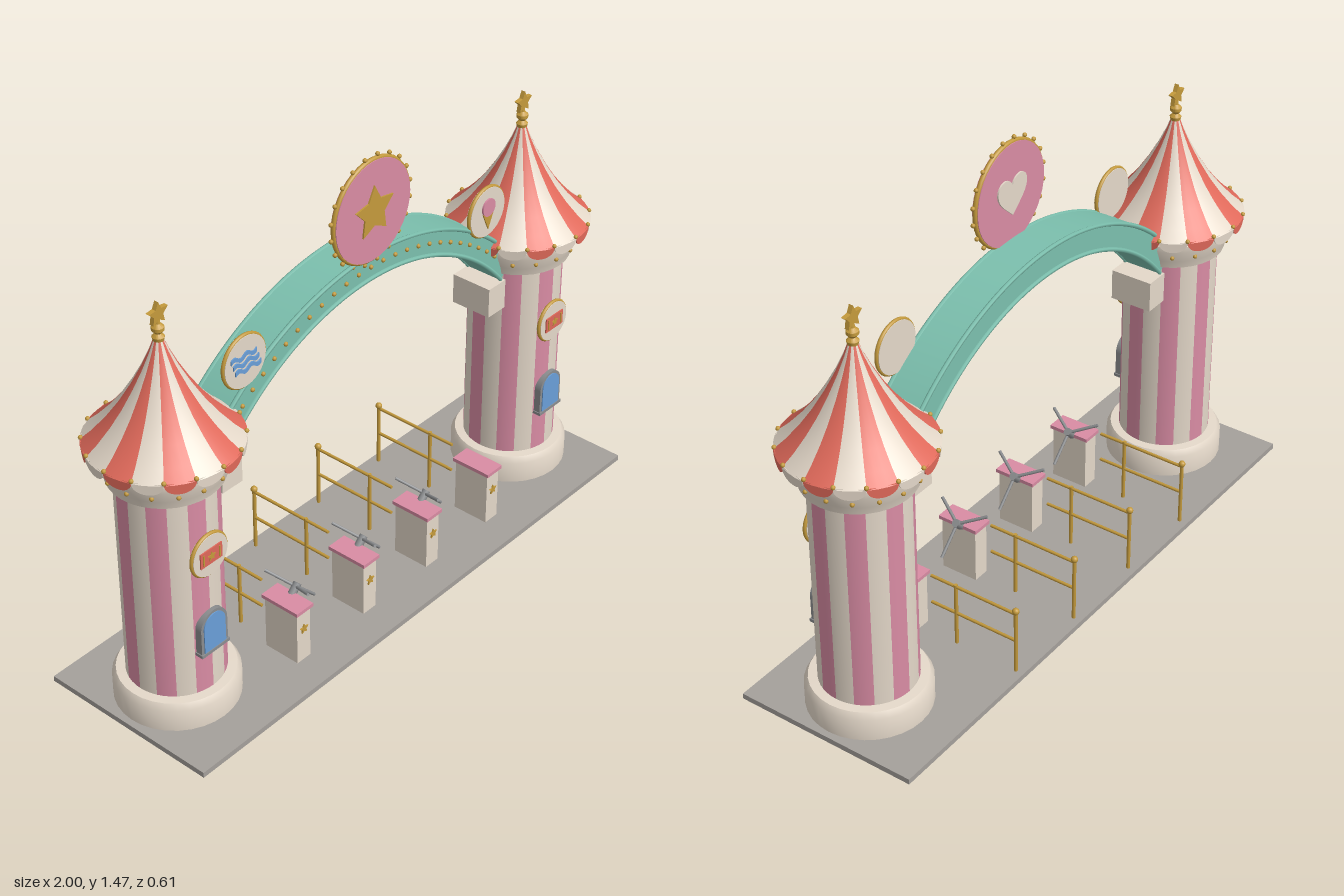
import * as THREE from 'three';
import { toCreasedNormals } from 'three/addons/utils/BufferGeometryUtils.js';

const mat = (name, color) => Object.assign(new THREE.MeshStandardMaterial({ color }), { name });
const cream = mat('cream', 0xe4d8c9), pink = mat('pink', 0xd98ca4), red = mat('coral red', 0xe0695a),
  teal = mat('teal', 0x7cc0ae), gold = mat('gold', 0xc49a3c), blue = mat('sky blue', 0x6a9fd8),
  paving = mat('paving grey', 0xa5a09b), steel = mat('steel', 0x8b8d8f);
for (const m of [red, cream]) m.side = THREE.DoubleSide;

const V2 = (a) => a.map(([x, y]) => new THREE.Vector2(x, y));

function add(parent, name, geo, material, x = 0, y = 0, z = 0) {
  const m = new THREE.Mesh(geo, material);
  m.name = name;
  m.position.set(x, y, z);
  parent.add(m);
  return m;
}
function group(parent, name, x = 0, y = 0, z = 0) {
  const g = new THREE.Group();
  g.name = name;
  g.position.set(x, y, z);
  parent.add(g);
  return g;
}
const box = (w, h, d) => new THREE.BoxGeometry(w, h, d);
const lathe = (pts, seg = 32, start = 0, len = Math.PI * 2) =>
  toCreasedNormals(new THREE.LatheGeometry(V2(pts), seg, start, len), 0.6);
const extrude = (shape, depth) =>
  new THREE.ExtrudeGeometry(shape, { depth, bevelEnabled: false, curveSegments: 24 });
const bulbGeo = new THREE.SphereGeometry(0.007, 8, 6);

// Rod between two points
function rod(parent, name, a, b, r, material) {
  const p = new THREE.Vector3(...a), q = new THREE.Vector3(...b), d = q.clone().sub(p);
  const m = add(parent, name, new THREE.CylinderGeometry(r, r, d.length(), 8), material);
  m.position.copy(p).add(q).multiplyScalar(0.5);
  m.quaternion.setFromUnitVectors(new THREE.Vector3(0, 1, 0), d.normalize());
}
function star(r, inner = 0.48) {
  return new THREE.Shape(V2(Array.from({ length: 10 }, (_, i) => {
    const a = Math.PI / 2 + i * Math.PI / 5, k = i % 2 ? r * inner : r;
    return [Math.cos(a) * k, Math.sin(a) * k];
  })));
}
function wave(w, amp, thick) {
  const n = 24, top = [], bottom = [];
  for (let i = 0; i <= n; i++) {
    const x = (i / n - 0.5) * w, y = amp * Math.sin(i / n * Math.PI * 4);
    top.push([x, y + thick / 2]);
    bottom.unshift([x, y - thick / 2]);
  }
  return new THREE.Shape(V2([...top, ...bottom]));
}
function archedShape(w, h) {
  const s = new THREE.Shape();
  s.moveTo(-w, 0);
  s.lineTo(w, 0);
  s.lineTo(w, h - w);
  s.absarc(0, h - w, w, 0, Math.PI);
  return s;
}
// Round sign facing +z with a gold rim; its front face sits at z = depth / 2
function roundSign(parent, name, r, depth, face, x, y, z) {
  const g = group(parent, name, x, y, z);
  add(g, 'signDisc', new THREE.CylinderGeometry(r, r, depth, 40), face).rotation.x = Math.PI / 2;
  add(g, 'signRim', new THREE.TorusGeometry(r, depth * 0.38, 8, 40), gold);
  return g;
}

function buildTower(root, x) {
  const t = group(root, x > 0 ? 'leftTower' : 'rightTower', x);
  add(t, 'towerFoot', lathe([[0.187, 0.015], [0.187, 0.09], [0.175, 0.11], [0.14, 0.112]]), cream);
  add(t, 'towerCollar', lathe([[0.14, 0.787], [0.168, 0.795], [0.174, 0.82], [0.19, 0.86],
    [0.19, 0.88], [0.17, 0.886], [0.17, 0.91]]), cream);
  add(t, 'eaveUnderside', lathe([[0.16, 0.9], [0.222, 0.912]]), cream);

  // Striped shaft, striped roof and scalloped valance
  const step = Math.PI / 8;
  const roof = [[0.225, 0.912], [0.19, 0.942], [0.15, 0.985], [0.115, 1.03], [0.08, 1.085],
    [0.05, 1.14], [0.027, 1.19], [0.01, 1.235]];
  const flap = new THREE.Shape();
  flap.moveTo(-0.044, 0.003);
  flap.bezierCurveTo(-0.044, -0.045, 0.044, -0.045, 0.044, 0.003);
  for (let i = 0; i < 16; i++) {
    const a = i * step, mid = a + step / 2, odd = i % 2;
    add(t, 'shaftStripe', new THREE.CylinderGeometry(0.147, 0.147, 0.69, 3, 1, true, a, step),
      odd ? pink : cream, 0, 0.45);
    add(t, 'roofStripe', new THREE.LatheGeometry(V2(roof), 3, a, step), odd ? cream : red);
    const f = add(t, 'valanceFlap', extrude(flap, 0.004), odd ? cream : red,
      Math.sin(mid) * 0.217, 0.912, Math.cos(mid) * 0.217);
    f.rotation.y = mid;
    add(t, 'eaveBulb', bulbGeo, gold, Math.sin(a) * 0.222, 0.918, Math.cos(a) * 0.222);
    add(t, 'collarBulb', bulbGeo, gold, Math.sin(mid) * 0.183, 0.838, Math.cos(mid) * 0.183);
  }

  // Finial
  add(t, 'finialStem', lathe([[0.014, 1.215], [0.018, 1.232], [0.009, 1.242], [0.018, 1.252],
    [0.018, 1.262], [0.008, 1.272], [0.006, 1.29]], 16), gold);
  add(t, 'finialStar', extrude(star(0.036), 0.014), gold, 0, 1.303, -0.007);

  // Ticket sign
  const s = roundSign(t, 'ticketSign', 0.066, 0.016, cream, 0, 0.587, 0.15);
  add(s, 'ticket', box(0.084, 0.05, 0.004), red, 0, 0, 0.01);
  add(s, 'ticketStar', extrude(star(0.016), 0.002), gold, 0, 0, 0.012);
  for (const k of [-1, 1]) add(s, 'ticketEdge', box(0.005, 0.036, 0.002), gold, k * 0.031, 0, 0.013);

  // Arched window
  const frame = archedShape(0.052, 0.14);
  add(t, 'windowFrame', extrude(frame, 0.03), steel, 0, 0.254, 0.13);
  add(t, 'windowPane', extrude(archedShape(0.042, 0.122), 0.004), blue, 0, 0.263, 0.159);
  add(t, 'windowSill', box(0.11, 0.01, 0.035), steel, 0, 0.257, 0.147);
}

function buildArch(root) {
  const g = group(root, 'archway');
  const cy = 0.275, rIn = 0.79, rOut = 0.875, end = 0.685;
  const a0 = end, a1 = Math.PI - end;
  const s = new THREE.Shape();
  s.absarc(0, cy, rOut, a0, a1, false);
  s.absarc(0, cy, rIn, a1, a0, true);
  const geo = new THREE.ExtrudeGeometry(s, { depth: 0.126, bevelEnabled: false, curveSegments: 48 });
  add(g, 'archBand', toCreasedNormals(geo, 0.5), teal, 0, 0, -0.063);
  for (const r of [rIn + 0.003, rOut - 0.003]) for (const z of [-0.063, 0.063]) {
    const rim = add(g, 'archRim', new THREE.TorusGeometry(r, 0.007, 6, 56, a1 - a0), teal, 0, cy, z);
    rim.rotation.z = a0;
  }
  for (let i = 0; i < 27; i++) {
    const a = a0 + 0.06 + (a1 - a0 - 0.12) * i / 26;
    add(g, 'archBulb', bulbGeo, gold, Math.cos(a) * 0.833, cy + Math.sin(a) * 0.833, 0.065);
  }
  for (const k of [-1, 1]) add(g, 'archBracket', box(0.08, 0.1, 0.14), cream, k * 0.59, 0.72, 0);
}

function buildSigns(root) {
  // Large star sign with a heart on its back
  const c = roundSign(root, 'starSign', 0.158, 0.02, pink, 0, 1.293, 0.064);
  add(c, 'goldStar', extrude(star(0.083, 0.52), 0.005), gold, 0, 0, 0.01);
  const h = new THREE.Shape();
  h.moveTo(0, -0.065);
  h.bezierCurveTo(0.03, -0.035, 0.07, -0.01, 0.068, 0.025);
  h.bezierCurveTo(0.064, 0.065, 0.012, 0.065, 0, 0.03);
  h.bezierCurveTo(-0.012, 0.065, -0.064, 0.065, -0.068, 0.025);
  h.bezierCurveTo(-0.07, -0.01, -0.03, -0.035, 0, -0.065);
  add(c, 'backHeart', extrude(h, 0.005), cream, 0, 0, -0.015);
  for (let i = 0; i < 20; i++) {
    const a = (i + 0.5) * Math.PI / 10;
    add(c, 'signBulb', bulbGeo, gold, Math.cos(a) * 0.17, Math.sin(a) * 0.17, 0);
  }
  // Wave sign
  const w = roundSign(root, 'waveSign', 0.08, 0.016, cream, -0.525, 1.057, 0.064);
  for (let i = -1; i <= 1; i++)
    add(w, 'wave', extrude(wave(0.1, 0.006, 0.013), 0.004), blue, i * 0.008, -i * 0.022, 0.008);
  // Ice cream sign
  const n = roundSign(root, 'iceCreamSign', 0.08, 0.016, cream, 0.525, 1.057, 0.064);
  add(n, 'cone', extrude(new THREE.Shape(V2([[-0.025, 0], [0, -0.056], [0.025, 0]])), 0.004), gold, 0, 0, 0.008);
  const scoop = new THREE.Shape().absarc(0, 0, 0.029, 0, Math.PI * 2);
  add(n, 'scoop', extrude(scoop, 0.006), pink, 0, 0.018, 0.008);
}

function buildTurnstile(root, x, hasArms) {
  const g = group(root, 'turnstile', x);
  add(g, 'cabinet', box(0.056, 0.185, 0.125), cream, 0, 0.11, 0.132);
  add(g, 'cabinetCap', box(0.07, 0.012, 0.14), pink, 0, 0.206, 0.132);
  add(g, 'cabinetStar', extrude(star(0.017), 0.005), gold, 0, 0.135, 0.194);
  // Three-armed barrier on a tilted hub
  if (hasArms) {
    const hub = [0.048, 0.223, 0.122], q = Math.SQRT1_2;
    rod(g, 'hub', [0.028, 0.203, 0.122], [0.056, 0.231, 0.122], 0.013, steel);
    for (let i = 0; i < 3; i++) {
      const a = i * Math.PI * 2 / 3, c = Math.cos(a) * q * 0.112, s = Math.sin(a) * 0.098;
      rod(g, 'barrierArm', hub, [hub[0] + c, hub[1] - c, hub[2] + s], 0.005, steel);
    }
  }
  // Queue rail
  for (const z of [-0.275, -0.06]) rod(g, 'railPost', [0, 0.015, z], [0, 0.235, z], 0.006, gold);
  for (const y of [0.13, 0.228]) rod(g, 'railBar', [0, y, -0.275], [0, y, 0.03], 0.005, gold);
  add(g, 'railKnob', new THREE.SphereGeometry(0.011, 12, 8), gold, 0, 0.238, -0.275);
}

export function createModel() {
  const root = new THREE.Group();
  root.name = 'parkEntranceGate';
  add(root, 'pavedBase', box(1.96, 0.018, 0.606), paving, 0, 0.009, 0);
  for (const x of [-0.773, 0.773]) buildTower(root, x);
  buildArch(root);
  buildSigns(root);
  for (let i = 0; i < 4; i++) buildTurnstile(root, -0.445 + i * 0.295, i < 3);
  return root;
}
